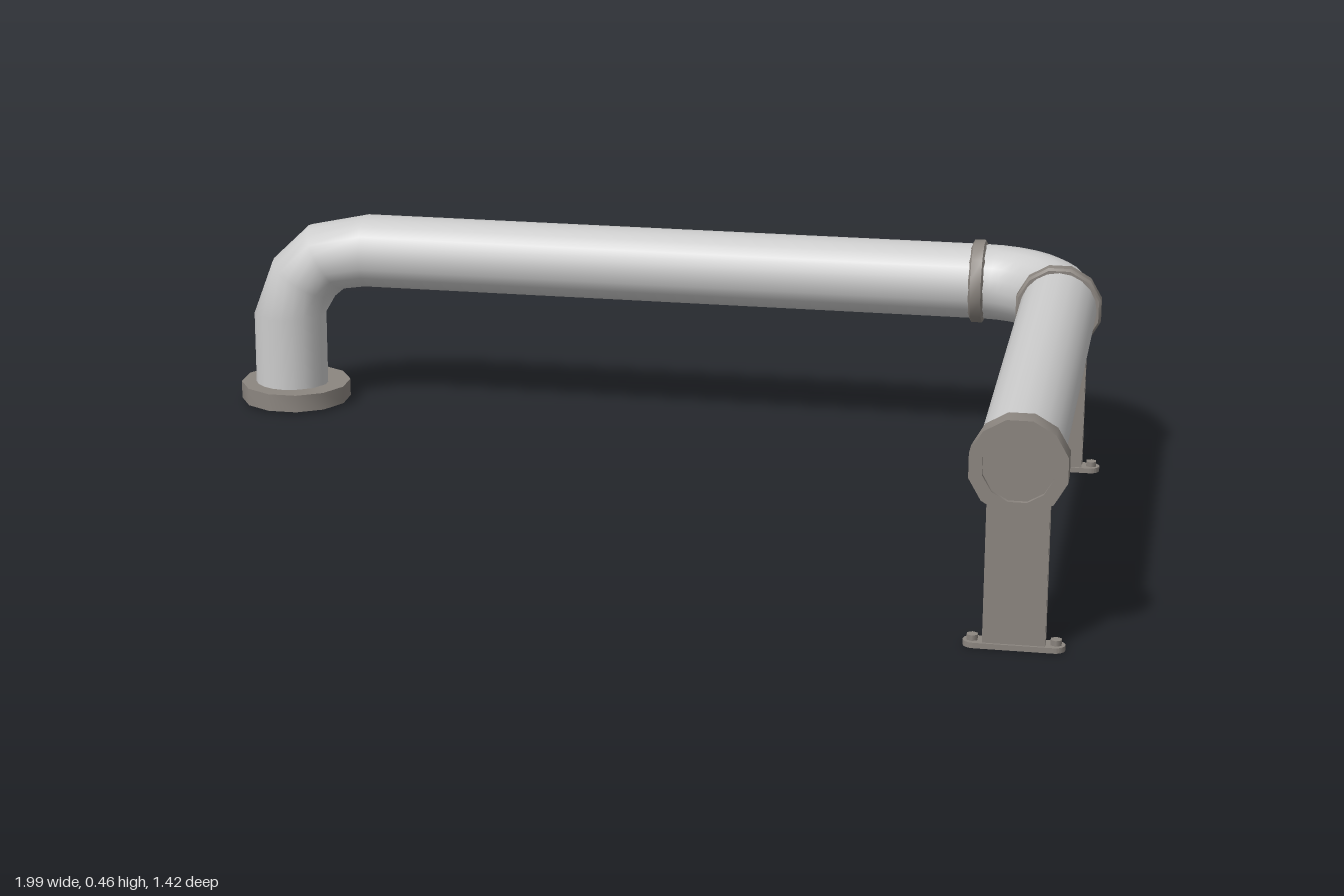
import * as THREE from 'three';
import { toCreasedNormals } from 'three/addons/utils/BufferGeometryUtils.js';

const Y = 0.366, R = 0.083, PX = 0.893, PZ = -0.588, VX = -0.886;

// Sweeps a circle through stations of { p: centre, n: first axis, b: second axis }
function sweep(stations, radius, sides) {
  const pos = [], nor = [], idx = [];
  stations.forEach(({ p, n, b }, i) => {
    for (let j = 0; j < sides; j++) {
      const a = (j / sides) * Math.PI * 2;
      const d = n.clone().multiplyScalar(Math.cos(a)).addScaledVector(b, Math.sin(a));
      nor.push(d.x, d.y, d.z);
      pos.push(p.x + d.x * radius, p.y + d.y * radius, p.z + d.z * radius);
      if (i < stations.length - 1) {
        const k = i * sides + j, l = i * sides + ((j + 1) % sides);
        idx.push(k, l, k + sides, l, l + sides, k + sides);
      }
    }
  });
  const g = new THREE.BufferGeometry();
  g.setAttribute('position', new THREE.Float32BufferAttribute(pos, 3));
  g.setAttribute('normal', new THREE.Float32BufferAttribute(nor, 3));
  g.setIndex(idx);
  return g;
}

// Twelve-sided turned ring with crisp edges, axis along y, flats facing the axes
function turned(points) {
  const g = new THREE.LatheGeometry(points.map(([r, y]) => new THREE.Vector2(r, y)), 12);
  g.rotateY(Math.PI / 12);
  return toCreasedNormals(g, 0.6);
}

export function createModel() {
  const model = new THREE.Group();
  const pipeGrey = new THREE.MeshStandardMaterial({ color: 0xcccccc, side: THREE.DoubleSide });
  pipeGrey.name = 'pipeGrey';
  const bracketGrey = new THREE.MeshStandardMaterial({ color: 0x8c8680, side: THREE.DoubleSide });
  bracketGrey.name = 'bracketGrey';
  const V = (x, y, z) => new THREE.Vector3(x, y, z);
  const add = (parent, name, geo, mat, x = 0, y = 0, z = 0) => {
    const m = new THREE.Mesh(geo, mat);
    m.name = name;
    m.position.set(x, y, z);
    parent.add(m);
    return m;
  };

  // Pipe: riser, coarse elbow, long run, smooth elbow, front run
  const stations = [];
  const rise = (x, y, deg) => {
    const a = THREE.MathUtils.degToRad(deg);
    stations.push({ p: V(x, y, PZ), n: V(-Math.sin(a), Math.cos(a), 0), b: V(0, 0, 1) });
  };
  rise(VX, 0.03, 90);
  rise(VX, 0.21, 90);
  rise(-0.85, 0.295, 60);
  rise(-0.795, 0.347, 30);
  rise(-0.7, Y, 0);
  const bend = 0.178, cx = PX - bend, cz = PZ + bend;
  for (let i = 0; i <= 8; i++) {
    const a = (i / 8) * Math.PI / 2, s = Math.sin(a), c = Math.cos(a);
    stations.push({ p: V(cx + bend * s, Y, cz - bend * c), n: V(0, 1, 0), b: V(-s, 0, c) });
  }
  stations.push({ p: V(PX, Y, 0.67), n: V(0, 1, 0), b: V(-1, 0, 0) });
  add(model, 'pipe', sweep(stations, R, 20), pipeGrey);

  // Wall-end flange, hollow underneath
  add(model, 'floorFlange', turned([
    [0, 0.032], [0.1, 0.032], [0.106, 0.005], [0.126, 0.005], [0.126, 0.045], [0.08, 0.045],
  ]), bracketGrey, VX + 0.009, 0, PZ);

  // Bevelled collar around the long run
  const collar = [[0.081, -0.018], [0.092, -0.012], [0.092, 0.012], [0.081, 0.018]];
  add(model, 'runCollar', turned(collar), bracketGrey, 0.703, Y, PZ).rotation.z = -Math.PI / 2;

  // Supports: clamp ring, grooved post, rounded foot with two bolts
  const foot = new THREE.Shape();
  foot.absarc(0.077, 0, 0.021, -Math.PI / 2, Math.PI / 2);
  foot.absarc(-0.077, 0, 0.021, Math.PI / 2, Math.PI * 1.5);
  const footGeo = new THREE.ExtrudeGeometry(foot, { depth: 0.011, bevelEnabled: false, curveSegments: 6 });
  footGeo.rotateX(-Math.PI / 2);
  const plateGeo = new THREE.BoxGeometry(0.12, 0.285, 0.008);
  const coreGeo = new THREE.BoxGeometry(0.1, 0.285, 0.02);
  const boltGeo = new THREE.CylinderGeometry(0.012, 0.012, 0.012, 6);

  function support(name, z) {
    const g = new THREE.Group();
    g.name = name;
    g.position.set(PX + 0.004, 0, z);
    for (const s of [-1, 1]) {
      add(g, 'postPlate', plateGeo, bracketGrey, 0, 0.15, s * 0.012);
      add(g, 'bolt', boltGeo, bracketGrey, s * 0.08, 0.016, 0);
    }
    add(g, 'postCore', coreGeo, bracketGrey, 0, 0.15, 0);
    add(g, 'foot', footGeo, bracketGrey);
    model.add(g);
    return g;
  }
  const middle = support('middleSupport', -0.402);
  add(middle, 'clampRing', turned([
    [0.08, -0.018], [0.09, -0.018], [0.095, -0.012], [0.095, 0.012], [0.09, 0.018], [0.08, 0.018],
  ]), bracketGrey, -0.004, Y, 0).rotation.x = Math.PI / 2;

  // Closed end cap with a shallow round recess
  const front = support('frontSupport', 0.686);
  add(front, 'endCap', turned([
    [0.08, -0.03], [0.097, -0.03], [0.097, 0.019], [0.07, 0.019], [0.07, 0.01], [0, 0.01],
  ]), bracketGrey, -0.002, Y, 0).rotation.x = Math.PI / 2;

  return model;
}
